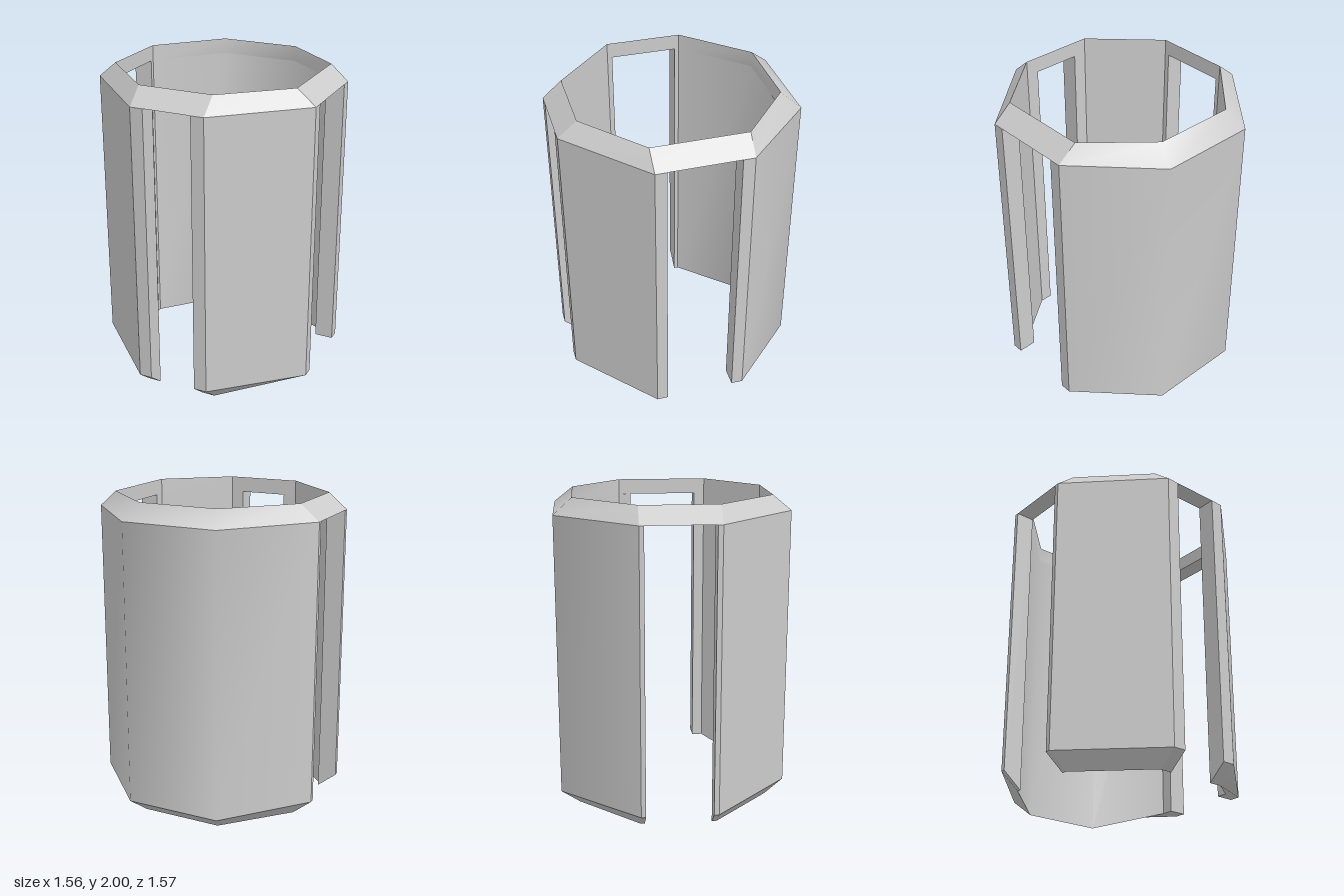
import * as THREE from 'three';
import { mergeGeometries } from 'three/addons/utils/BufferGeometryUtils.js';

const LOW = 0.1, HIGH = 1.9, TOP = 2;

// Corner: outer x,z, inner x,z, and height of the inner bottom edge
const pt = (ox, oz, ix, iz, y = 0) => ({ ox, oz, ix, iz, y });
const A = pt(-0.01, -0.785, -0.01, -0.655), H = pt(-0.575, -0.55, -0.485, -0.46);
const G = pt(-0.783, 0.07, -0.67, 0.025), F = pt(-0.6, 0.515, -0.488, 0.47);
const E = pt(0.052, 0.78, 0.002, 0.67), D = pt(0.487, 0.6, 0.442, 0.49);
const C = pt(0.78, 0, 0.67, 0.045, LOW), B = pt(0.555, -0.54, 0.445, -0.5, LOW);

// Slot edges, a short way in from the corners
const P = pt(0.128, 0.749, 0.082, 0.638), Q = pt(0.41, 0.632, 0.366, 0.521);
const R = pt(-0.772, 0.097, -0.66, 0.05), S = pt(-0.612, 0.486, -0.5, 0.441);
const T = pt(0.753, -0.065, 0.644, -0.018, LOW), U = pt(0.583, -0.472, 0.473, -0.427, LOW);

const outer = (p, y) => [p.ox, y, p.oz];
const inner = (p, y) => [p.ix, y, p.iz];

// Smooth strip between a lower and an upper row, running left to right as seen
function strip(lower, upper) {
  const n = lower.length, index = [];
  for (let i = 0; i < n - 1; i++) {
    index.push(i, i + 1, n + i + 1, i, n + i + 1, n + i);
  }
  const g = new THREE.BufferGeometry();
  g.setAttribute('position', new THREE.Float32BufferAttribute([...lower, ...upper].flat(), 3));
  g.setIndex(index);
  g.computeVertexNormals();
  return g.toNonIndexed();
}

function mesh(name, parts) {
  const m = new THREE.Mesh(mergeGeometries(parts), new THREE.MeshStandardMaterial({ color: 0xcccccc }));
  m.name = name;
  return m;
}

// Upright wall panel made of smooth runs, closed at both slot edges
function panel(name, runs) {
  const parts = [];
  for (const run of runs) {
    const back = [...run].reverse();
    parts.push(
      strip(run.map(p => outer(p, LOW)), run.map(p => outer(p, HIGH))),
      strip(run.map(p => inner(p, p.y)), run.map(p => outer(p, LOW))),
      strip(back.map(p => inner(p, p.y)), back.map(p => inner(p, HIGH))));
  }
  const first = runs[0][0], last = runs.at(-1).at(-1);
  parts.push(
    strip([inner(first, first.y), outer(first, LOW)], [inner(first, HIGH), outer(first, HIGH)]),
    strip([outer(last, LOW), inner(last, last.y)], [outer(last, HIGH), inner(last, HIGH)]));
  return mesh(name, parts);
}

// Bevelled ring joining the panels, with flat undersides over the slots
function topRing() {
  const parts = [];
  for (const run of [[B, A, H, G], [G, F], [F, E], [E, D], [D, C], [C, B]]) {
    const back = [...run].reverse();
    parts.push(
      strip(run.map(p => outer(p, HIGH)), run.map(p => inner(p, TOP))),
      strip(back.map(p => inner(p, HIGH)), back.map(p => inner(p, TOP))));
  }
  for (const slot of [[R, S], [P, Q], [T, U]]) {
    parts.push(strip(slot.map(p => inner(p, HIGH)), slot.map(p => outer(p, HIGH))));
  }
  return mesh('topRing', parts);
}

export function createModel() {
  const group = new THREE.Group();
  group.name = 'slottedSleeve';
  group.add(
    panel('backPanel', [[U, B], [B, A, H, G], [G, R]]),
    panel('frontPanel', [[S, F], [F, E], [E, P]]),
    panel('sidePanel', [[Q, D], [D, C], [C, T]]),
    topRing());
  return group;
}
